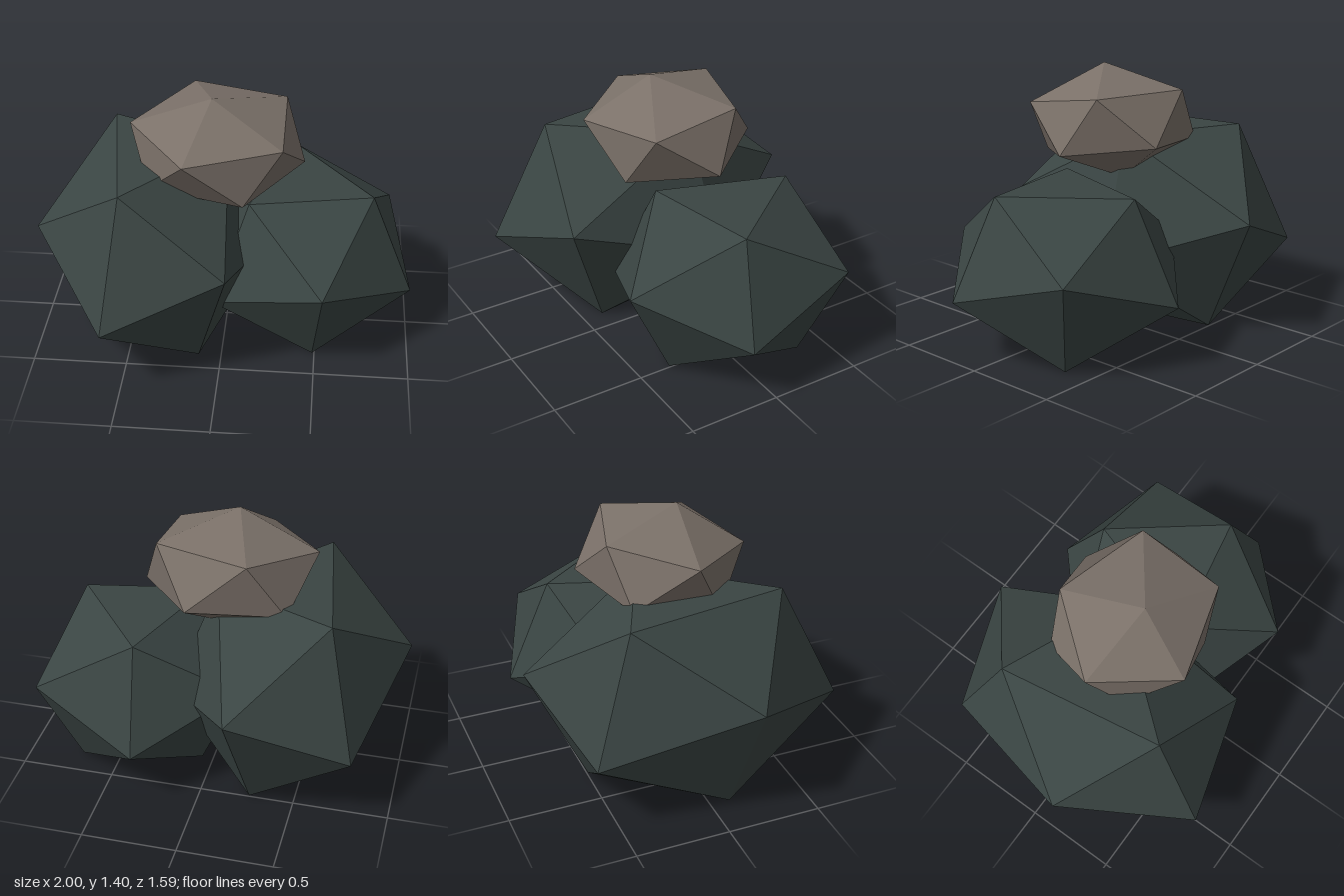
import * as THREE from 'three';
import { ConvexGeometry } from 'three/addons/geometries/ConvexGeometry.js';

// A faceted twelve-point stone: six corner offsets, mirrored through its centre
function stone(name, center, offsets, material) {
  const points = offsets.flatMap((o) => [1, -1].map((s) => new THREE.Vector3(...o).multiplyScalar(s)));
  const mesh = new THREE.Mesh(new ConvexGeometry(points), material);
  mesh.name = name;
  mesh.position.set(...center);
  return mesh;
}

// Corners of a stone resting on a flat triangular face: three wide corners
// just above the middle, and three smaller ones opposite them on the top face
function restingOffsets(halfHeight, wide) {
  const k = 0.618;
  return wide.flatMap(([x, z]) => [
    [x, halfHeight * 0.236, z],
    [-x * k, halfHeight, -z * k],
  ]);
}

export function createModel() {
  const darkStone = new THREE.MeshStandardMaterial({ color: 0x3a4543 });
  darkStone.name = 'dark slate';
  const brownStone = new THREE.MeshStandardMaterial({ color: 0x7a7068 });
  brownStone.name = 'brown stone';

  const group = new THREE.Group();
  group.name = 'rockPile';

  // Two large boulders on the ground
  group.add(stone('largeBoulder', [-0.383, 0.52, 0],
    restingOffsets(0.52, [[-0.617, 0.175], [0.423, 0.622], [0.194, -0.797]]), darkStone));
  group.add(stone('smallBoulder', [0.42, 0.42, -0.083],
    restingOffsets(0.42, [[0.11, 0.655], [0.47, -0.427], [-0.58, -0.228]]), darkStone));

  // Flattened, tilted stone on top: its peak and the five corners around it
  group.add(stone('topStone', [-0.046, 1.105, 0.004], [
    [-0.024, 0.295, 0.087],
    [-0.454, 0.115, 0.036],
    [-0.146, 0.07, 0.416],
    [0.348, 0.11, 0.276],
    [0.348, 0.182, -0.194],
    [-0.153, 0.182, -0.342],
  ], brownStone));

  return group;
}
